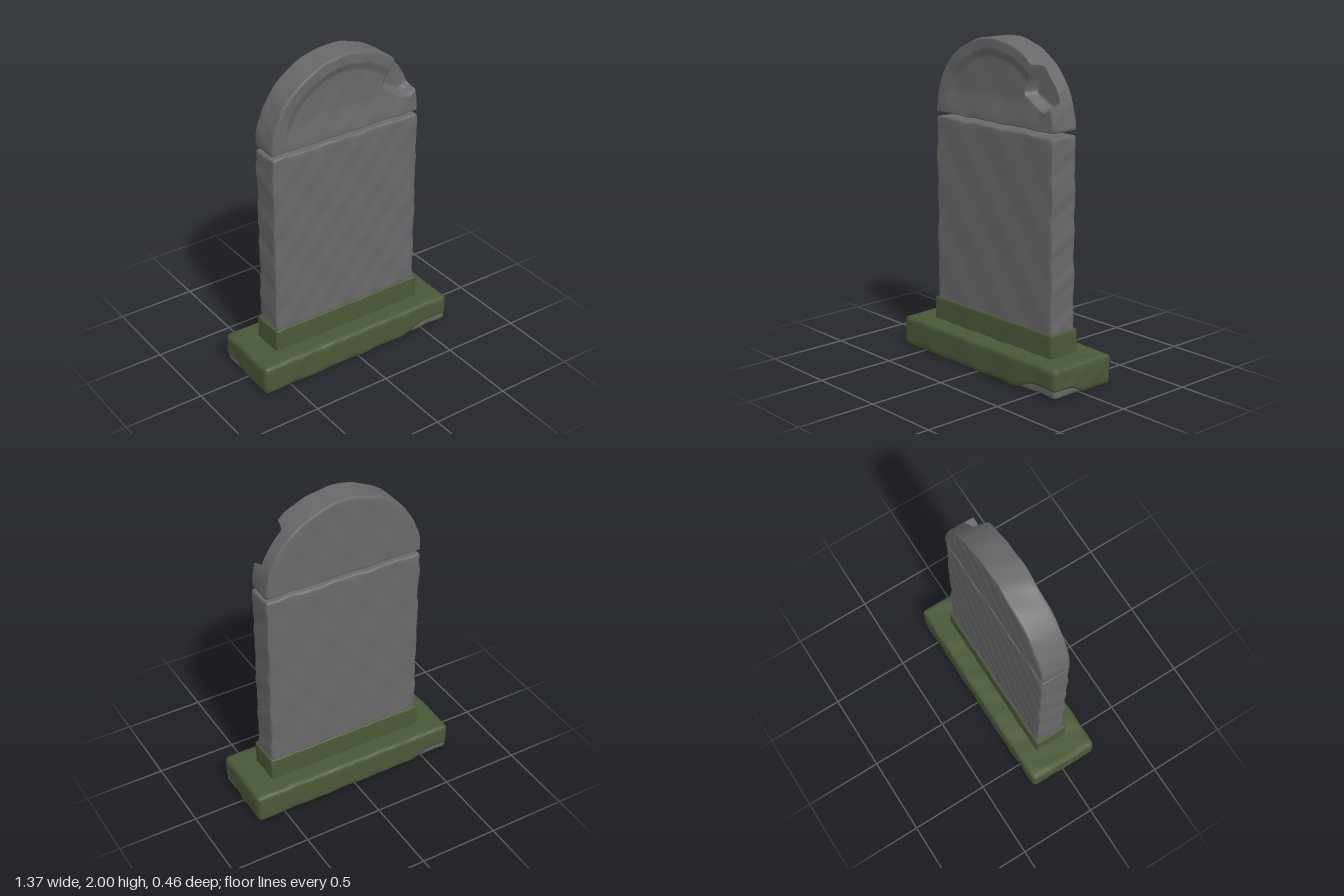
import * as THREE from 'three';
import { mergeVertices } from 'three/addons/utils/BufferGeometryUtils.js';

const smooth = THREE.MathUtils.smoothstep;
const clamp = THREE.MathUtils.clamp;

// Move every vertex by a rule, weld the seams and make smooth normals
function reshape(geo, rule) {
  geo.deleteAttribute('uv');
  geo.deleteAttribute('normal');
  const pos = geo.attributes.position;
  const p = new THREE.Vector3();
  for (let i = 0; i < pos.count; i++) {
    p.fromBufferAttribute(pos, i);
    rule(p);
    pos.setXYZ(i, p.x, p.y, p.z);
  }
  const out = mergeVertices(geo, 1e-5);
  out.computeVertexNormals();
  return out;
}

// Gentle hand-carved unevenness
function wobble(p, amp) {
  const { x, y, z } = p;
  p.x += amp * (Math.sin(y * 23 + z * 9) * 0.6 + Math.sin(y * 51 + z * 31 + 1) * 0.4);
  p.y += amp * (Math.sin(x * 19 + z * 11 + 2) * 0.6 + Math.sin(x * 43 + z * 17) * 0.4);
  p.z += amp * (Math.sin(x * 17 + y * 13 + 1) * 0.5 + Math.sin(x * 31 - y * 27) * 0.5);
}

// Box with soft edges and enough vertices to be uneven
function softBox(w, h, d, y0, r, step, amp, extra) {
  const half = [w / 2, h / 2, d / 2];
  const n = half.map((v) => Math.max(4, Math.round((2 * v) / step)));
  const geo = new THREE.BoxGeometry(w, h, d, ...n);
  const place = (v, k) => {
    const hk = half[k], i = Math.round(((v + hk) / (2 * hk)) * n[k]);
    if (i === 0) return -hk;
    if (i === n[k]) return hk;
    return -hk + r + ((i - 1) / (n[k] - 2)) * 2 * (hk - r);
  };
  const inner = new THREE.Vector3();
  return reshape(geo, (p) => {
    p.set(place(p.x, 0), place(p.y, 1), place(p.z, 2));
    inner.set(
      clamp(p.x, r - half[0], half[0] - r),
      clamp(p.y, r - half[1], half[1] - r),
      clamp(p.z, r - half[2], half[2] - r));
    p.sub(inner).setLength(r).add(inner);
    p.y += y0 + h / 2;
    if (extra) extra(p);
    wobble(p, amp);
  });
}

// Depth limit of the broken notch on the cap's front edge
function notchDepth(x, y) {
  const a = (x - 0.26) * -0.89 + (y - 1.72) * 0.45;
  const b = (x - 0.27) * -0.45 + (y - 1.69) * -0.89;
  const c = (x - 0.43) * 0.58 + (y - 1.61) * -0.81;
  const k = 60;
  const d = Math.log(Math.exp(a * k) + Math.exp(b * k) + Math.exp(c * k)) / k;
  return 0.14 * smooth(d, -0.018, 0.018);
}

// Arched cap: the outline is lofted from the front centre to the back centre
function capGeometry() {
  const D = 0.093, cy = 1.7;
  const outline = [];
  for (let i = 0; i <= 110; i++) {
    const t = (i / 110) * Math.PI;
    outline.push([0.51 * Math.cos(t), 1.508 + 0.49 * Math.sin(t)]);
  }
  for (let i = 1; i < 50; i++) outline.push([-0.51 + (i / 50) * 1.02, 1.505]);

  const rings = [];
  for (let i = 0; i <= 36; i++) rings.push([(i / 36) * 0.975, D]);
  rings.push([0.993, D - 0.004]);
  for (let i = 0; i <= 12; i++) rings.push([1, (D - 0.012) * (1 - i / 6)]);
  rings.push([0.993, 0.004 - D]);
  for (let i = 18; i >= 0; i--) rings.push([(i / 18) * 0.975, -D]);

  const verts = [], index = [], n = outline.length;
  rings.forEach(([s, z], j) => {
    outline.forEach(([x, y], i) => {
      verts.push(x * s, cy + (y - cy) * s, z);
      if (j === rings.length - 1) return;
      const a = j * n + i, a2 = j * n + ((i + 1) % n);
      index.push(a, a + n, a2 + n, a, a2 + n, a2);
    });
  });
  const geo = new THREE.BufferGeometry();
  geo.setAttribute('position', new THREE.Float32BufferAttribute(verts, 3));
  geo.setIndex(index);
  return reshape(geo, (p) => {
    const { x, y } = p;
    if (p.z > 0) {
      // sunken panel inside a raised rim, fading out towards the bottom
      const r = Math.hypot(x / 0.51, (y - 1.508) / 0.49);
      const panel = (1 - smooth(r, 0.76, 0.88)) * smooth(y, 1.51, 1.68);
      if (p.z > D - 0.002) p.z -= 0.018 * panel;
      p.z = Math.min(p.z, notchDepth(x, y) + p.z * 0.1);
    }
    wobble(p, 0.003);
  });
}

// Places where the moss has worn off the underside: x, z, radius x, radius z, lift
const WORN = [
  [0.7, 0.24, 0.38, 0.27, 0.055],
  [-0.7, -0.24, 0.3, 0.22, 0.05],
  [-0.09, -0.1, 0.11, 0.09, 0.04],
  [0.33, 0.03, 0.05, 0.05, 0.03],
];
function wearUnderside(p) {
  let lift = 0;
  for (const [x, z, rx, rz, h] of WORN) {
    const r = Math.hypot((p.x - x) / rx, (p.z - z) / rz);
    lift = Math.max(lift, h * (1 - smooth(r, 0.5, 1)));
  }
  p.y += lift * clamp(1 - p.y / 0.12, 0, 1);
}

export function createModel() {
  const stone = new THREE.MeshStandardMaterial({ color: 0x69696b });
  stone.name = 'grey stone';
  const moss = new THREE.MeshStandardMaterial({ color: 0x4b5838 });
  moss.name = 'moss green';

  const group = new THREE.Group();
  group.name = 'gravestone';
  const add = (name, geo, mat) => {
    const mesh = new THREE.Mesh(geo, mat);
    mesh.name = name;
    group.add(mesh);
  };

  // Upright stone in two pieces, with a crack between them
  add('archedCap', capGeometry(), stone);
  add('slab', softBox(1.02, 1.23, 0.186, 0.25, 0.014, 0.028, 0.0045), stone);

  // Mossy stepped foot
  add('plinth', softBox(1.05, 0.18, 0.215, 0.152, 0.012, 0.03, 0.002), moss);
  add('base', softBox(1.365, 0.186, 0.456, 0.003, 0.022, 0.022, 0.003, wearUnderside), moss);

  // Bare stone showing under the worn moss
  add('baseCore', softBox(1.352, 0.1, 0.442, 0.012, 0.02, 0.03, 0.003), stone);
  return group;
}
